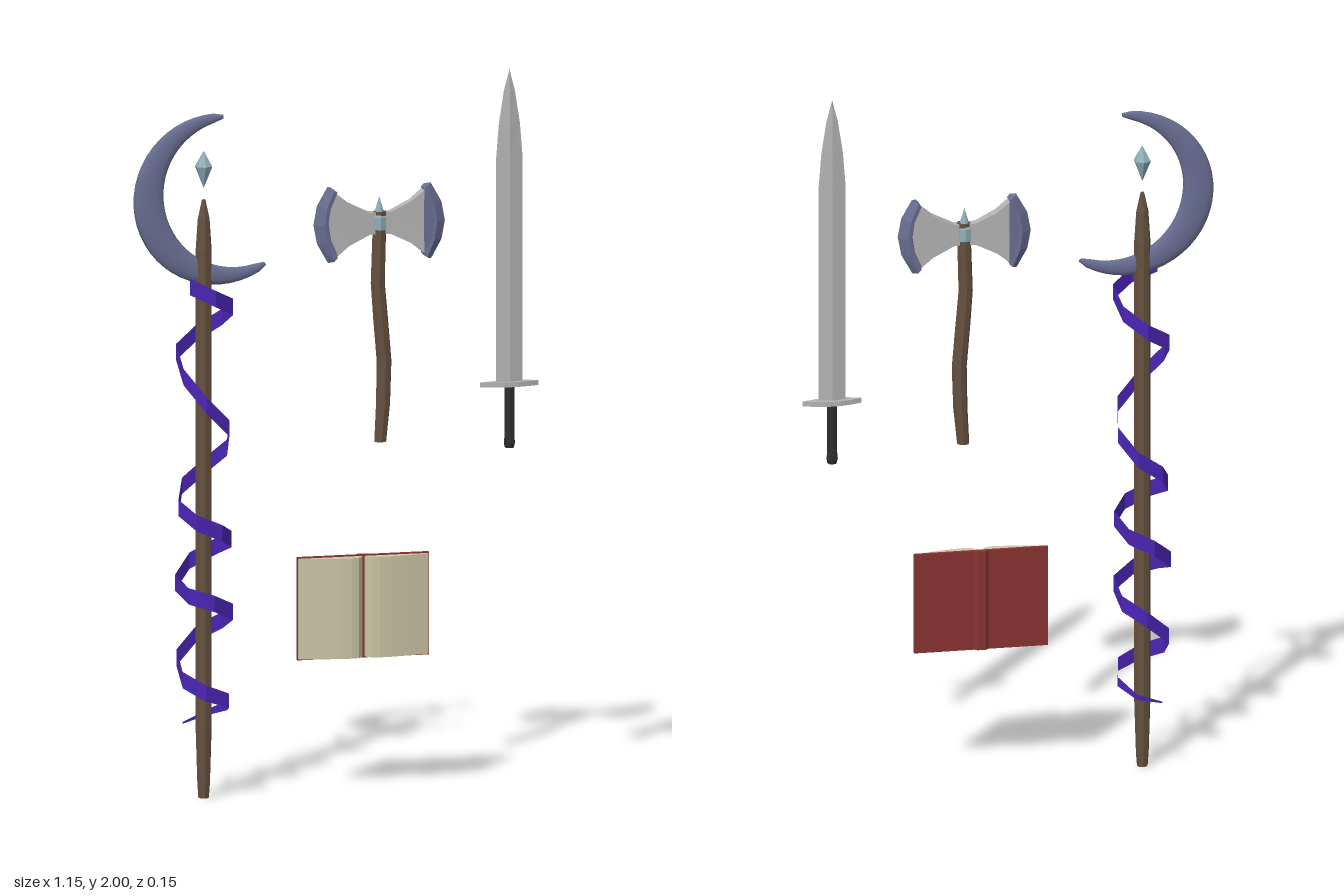
import * as THREE from 'three';

const Z0 = -0.004; // shared depth of the weapons
const V = (x, y, z) => new THREE.Vector3(x, y, z);
const mat = (color, flat = true, side = THREE.FrontSide) =>
  new THREE.MeshStandardMaterial({ color, flatShading: flat, side });

const wood = mat(0x66513f), steel = mat(0xb4b4b4), slate = mat(0x6a6f94);
const moon = mat(0x6a6f94, false), gem = mat(0x8fb0b8), dark = mat(0x2e2e30);
const red = mat(0x8a3232), paper = mat(0xccc7a6), cloth = mat(0x4b25b5, true, THREE.DoubleSide);

function add(parent, name, geometry, material) {
  const mesh = new THREE.Mesh(geometry, material);
  mesh.name = name;
  parent.add(mesh);
  return mesh;
}

// Closed skin through rings that run counterclockwise about the travel direction
function loft(rings) {
  const n = rings[0].length, last = (rings.length - 1) * n;
  const pos = rings.flat().flatMap(p => [p.x, p.y, p.z]), idx = [];
  for (let i = 0; i < rings.length - 1; i++) {
    for (let j = 0; j < n; j++) {
      const a = i * n + j, b = i * n + (j + 1) % n;
      idx.push(a, b, b + n, a, b + n, a + n);
    }
  }
  for (let j = 1; j < n - 1; j++) {
    idx.push(0, j + 1, j, last, last + j, last + j + 1);
  }
  const g = new THREE.BufferGeometry();
  g.setAttribute('position', new THREE.Float32BufferAttribute(pos, 3));
  g.setIndex(idx);
  g.computeVertexNormals();
  return g;
}

// Horizontal ring for upright lofts
function ringY(x, y, rx, rz, n) {
  return Array.from({ length: n }, (_, i) => {
    const a = i / n * Math.PI * 2;
    return V(x + rx * Math.sin(a), y, rz * Math.cos(a));
  });
}

// Upright prism from a plan outline of [x, z] points
function prism(points, y0, height) {
  const shape = new THREE.Shape(points.map(([x, z]) => new THREE.Vector2(x, -z)));
  const g = new THREE.ExtrudeGeometry(shape, { depth: height, bevelEnabled: false });
  return g.rotateX(-Math.PI / 2).translate(0, y0, 0);
}

function makeStaff() {
  const g = new THREE.Group();
  g.name = 'staff';
  g.position.set(-0.38, 0, Z0);
  const shaft = [[0, 0.015], [0.04, 0.018], [0.2, 0.023], [1.53, 0.023], [1.62, 0.017], [1.675, 0.005]];
  add(g, 'staffShaft', loft(shaft.map(([y, r]) => ringY(0, y, r, r, 8))), wood);

  // Crescent: elliptical sections along an arc, thickest in the middle
  const rings = [];
  for (let i = 0; i <= 32; i++) {
    const t = i / 32, a = THREE.MathUtils.degToRad(86 + 220 * t);
    const s = Math.sin(Math.PI * t);
    const end = i === 0 || i === 32 ? 0.55 : 1;
    const w = (0.010 + 0.034 * s) * end, d = (0.006 + 0.008 * s) * end;
    const ring = [];
    for (let j = 0; j < 12; j++) {
      const p = j / 12 * Math.PI * 2, r = 0.24 - (0.010 + 0.034 * s) + w * Math.sin(p);
      ring.push(V(0.04 + r * Math.cos(a), 1.675 + r * Math.sin(a), d * Math.cos(p)));
    }
    rings.push(ring);
  }
  add(g, 'crescent', loft(rings), moon);

  // Floating crystal
  add(g, 'crystal', new THREE.LatheGeometry([[0, 1.707], [0.025, 1.768], [0, 1.812]]
    .map(p => new THREE.Vector2(...p)), 6), gem);

  // Ribbon: heights at each quarter turn, wound around the shaft
  const heights = [0.18, 0.215, 0.26, 0.30, 0.35, 0.45, 0.51, 0.56, 0.59, 0.67, 0.72, 0.765, 0.82,
    0.90, 0.99, 1.10, 1.22, 1.29, 1.365, 1.415, 1.47];
  const heightAt = q => {
    const i = Math.min(Math.floor(q), heights.length - 2);
    return THREE.MathUtils.lerp(heights[i], heights[i + 1], q - i);
  };
  const pos = [], idx = [], steps = 30, q0 = 0.6, q1 = 19.5;
  for (let i = 0; i <= steps; i++) {
    const q = q0 + (q1 - q0) * i / steps, a = (q - 2) * Math.PI / 2;
    const half = 0.023 * Math.min(1, 0.1 + i / 4);
    const r = 0.077 + 0.004 * Math.sin(i * 2.3);
    for (const s of [-1, 1]) {
      pos.push(r * Math.cos(a), heightAt(q) + s * half, r * Math.sin(a) - Z0);
    }
    if (i) idx.push(2 * i - 2, 2 * i - 1, 2 * i + 1, 2 * i - 2, 2 * i + 1, 2 * i);
  }
  const ribbon = new THREE.BufferGeometry();
  ribbon.setAttribute('position', new THREE.Float32BufferAttribute(pos, 3));
  ribbon.setIndex(idx);
  ribbon.computeVertexNormals();
  add(g, 'ribbon', ribbon, cloth);
  return g;
}

// Section of an axe blade: curved outward in x, flat in z
function bladeRing([x, bulge, h, z]) {
  const vs = [1, 0.5, 0, -0.5, -1];
  const side = (list, s) => list.map(v => V(x + bulge * (1 - v * v), v * h, s * z));
  return [...side(vs, 1), ...side([...vs].reverse(), -1)];
}

function makeAxe() {
  const g = new THREE.Group();
  g.name = 'axe';
  g.position.set(0.12, 0, Z0);
  // Slightly bent handle
  const path = [[0.003, 0.975, 0.017], [0.011, 1.08, 0.02], [0.014, 1.2, 0.021], [0.004, 1.32, 0.021],
    [-0.004, 1.42, 0.02], [0.002, 1.62, 0.019]];
  add(g, 'axeHandle', loft(path.map(([x, y, r]) => ringY(x, y, r, r, 8))), wood);
  // Hub with top spike
  add(g, 'axeHub', new THREE.LatheGeometry([[0, 1.55], [0.022, 1.57], [0.022, 1.605], [0.013, 1.62], [0, 1.662]]
    .map(p => new THREE.Vector2(...p)), 8), gem);

  // Two mirrored blades with bevelled cutting edges
  const body = loft([[0, 0, 0.03, 0.012], [0.03, 0, 0.031, 0.013], [0.09, 0.004, 0.06, 0.016],
    [0.132, 0.026, 0.094, 0.018]].map(bladeRing));
  const edge = loft([[0.124, 0.026, 0.092, 0.02], [0.132, 0.028, 0.1, 0.022],
    [0.146, 0.04, 0.106, 0.005]].map(bladeRing));
  for (const turn of [0, Math.PI]) {
    const blade = new THREE.Group();
    blade.name = turn ? 'rightAxeBlade' : 'leftAxeBlade';
    blade.position.y = 1.588;
    blade.rotation.y = turn;
    add(blade, 'bladeBody', body, steel);
    add(blade, 'cuttingEdge', edge, slate);
    g.add(blade);
  }
  return g;
}

function makeSword() {
  const g = new THREE.Group();
  g.name = 'sword';
  g.position.set(0.491, 0, Z0);
  // Diamond-section blade narrowing to the tip
  const blade = [[1.12, 0.038, 0.009], [1.75, 0.038, 0.009], [1.85, 0.03, 0.008], [1.94, 0.016, 0.005], [2, 0.0005, 0.0005]];
  add(g, 'swordBlade', loft(blade.map(([y, rx, rz]) => ringY(0, y, rx, rz, 4))), steel);
  // Pointed guard
  add(g, 'guard', prism([[-0.083, 0], [-0.055, 0.01], [-0.02, 0.018], [0.02, 0.018], [0.055, 0.01], [0.083, 0],
    [0.055, -0.01], [0.02, -0.018], [-0.02, -0.018], [-0.055, -0.01]], 1.113, 0.014), steel);
  // Grip with a slight flare at the pommel
  const grip = [[0.942, 0.013], [0.955, 0.016], [0.975, 0.014], [1.115, 0.014]];
  add(g, 'grip', loft(grip.map(([y, r]) => ringY(0, y, r, r, 8))), dark);
  return g;
}

function makeBook() {
  const g = new THREE.Group();
  g.name = 'openBook';
  g.position.set(0.074, 0, 0);
  const halfPage = [[0.185, -0.002], [0.185, 0.004], [0.13, 0.016], [0.075, 0.026], [0.04, 0.028],
    [0.018, 0.024], [0.004, 0.006], [0.004, -0.002]];
  for (const s of [-1, 1]) {
    const side = s > 0 ? 'left' : 'right';
    add(g, side + 'Pages', prism(halfPage.map(([x, z]) => [s * x, z]), 0.376, 0.281), paper);
    const cover = add(g, side + 'Cover', new THREE.BoxGeometry(0.172, 0.288, 0.01), red);
    cover.position.set(s * 0.102, 0.5165, -0.007);
  }
  // Raised spine
  add(g, 'spine', prism([[-0.02, -0.002], [0.02, -0.002], [0.02, -0.012], [0.012, -0.019], [-0.012, -0.019],
    [-0.02, -0.012]], 0.3725, 0.288), red);
  return g;
}

export function createModel() {
  const model = new THREE.Group();
  model.name = 'weaponSet';
  model.add(makeStaff(), makeAxe(), makeSword(), makeBook());
  return model;
}
